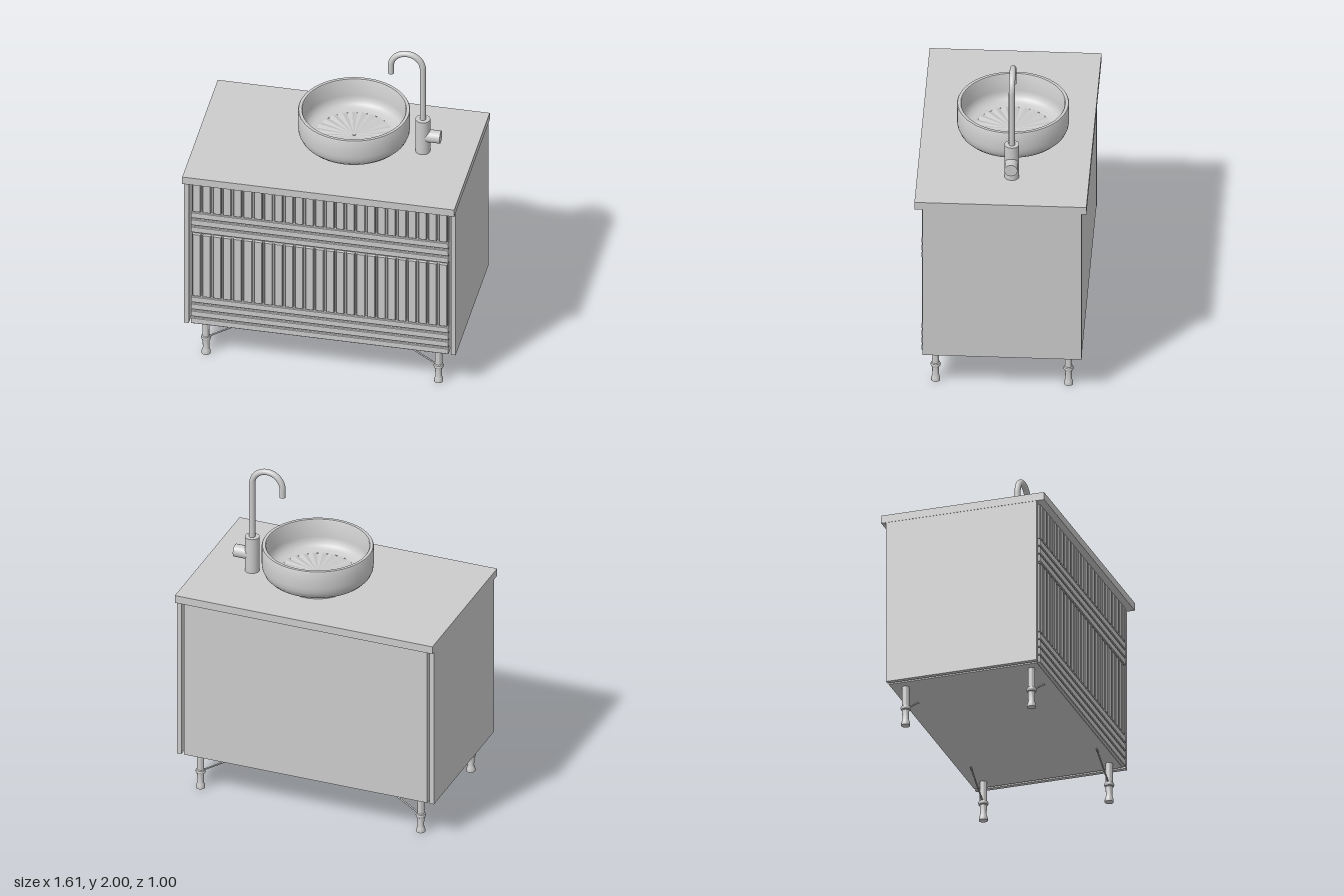
import * as THREE from 'three';
import { toCreasedNormals } from 'three/addons/utils/BufferGeometryUtils.js';

const material = new THREE.MeshStandardMaterial({ color: 0xcccccc });
const bowlFloorMaterial = new THREE.MeshStandardMaterial({ color: 0xcccccc, flatShading: true, side: THREE.DoubleSide });

function add(parent, name, geometry, x = 0, y = 0, z = 0) {
  const mesh = new THREE.Mesh(geometry, material);
  mesh.name = name;
  mesh.position.set(x, y, z);
  parent.add(mesh);
  return mesh;
}

// box given by its min and max corners
function addBox(parent, name, [x0, y0, z0], [x1, y1, z1]) {
  return add(parent, name, new THREE.BoxGeometry(x1 - x0, y1 - y0, z1 - z0),
    (x0 + x1) / 2, (y0 + y1) / 2, (z0 + z1) / 2);
}

function lathe(points, segments) {
  const profile = points.map(([r, y]) => new THREE.Vector2(r, y));
  return toCreasedNormals(new THREE.LatheGeometry(profile, segments), 0.6);
}

// slat with chamfered long edges, running up y, its face toward +z
function slatGeometry(width, length, depth) {
  const w = width / 2, c = 0.004;
  const shape = new THREE.Shape([
    [-w, 0], [w, 0], [w, -depth + c], [w - c, -depth], [-w + c, -depth], [-w, -depth + c],
  ].map(([x, y]) => new THREE.Vector2(x, y)));
  const geometry = new THREE.ExtrudeGeometry(shape, { depth: length, bevelEnabled: false });
  return geometry.rotateX(-Math.PI / 2).translate(0, -length / 2, 0);
}

function createDrawer(name, slatBottom, slatTop, railEdges) {
  const drawer = new THREE.Group();
  drawer.name = name;
  const halfWidth = 0.762, count = 25, baseZ = 0.44, depth = 0.02;
  // vertical slats
  const pitch = 2 * halfWidth / count;
  const slat = slatGeometry(pitch - 0.011, slatTop - slatBottom - 0.006, depth);
  for (let i = 0; i < count; i++) {
    add(drawer, 'verticalSlat', slat, -halfWidth + (i + 0.5) * pitch, (slatBottom + slatTop) / 2, baseZ);
  }
  // horizontal slats
  for (let i = 0; i + 1 < railEdges.length; i++) {
    const height = railEdges[i] - railEdges[i + 1] - 0.008;
    const rail = slatGeometry(height, 2 * halfWidth, depth).rotateZ(Math.PI / 2);
    add(drawer, 'horizontalSlat', rail, 0, (railEdges[i] + railEdges[i + 1]) / 2, baseZ);
  }
  return drawer;
}

function createBasin() {
  const basin = new THREE.Group();
  basin.name = 'basin';
  basin.position.set(0.1, 0, -0.035);
  add(basin, 'bowl', lathe([
    [0, 1.31], [0.205, 1.31], [0.205, 1.338], [0.235, 1.343], [0.265, 1.351], [0.292, 1.365],
    [0.312, 1.386], [0.323, 1.412], [0.326, 1.44], [0.326, 1.548], [0.322, 1.555],
    [0.304, 1.555], [0.3, 1.549], [0.3, 1.44], [0.294, 1.414], [0.28, 1.393], [0.257, 1.38], [0.224, 1.374],
  ], 64));
  // shallow pleated fan around the drain
  const floor = new THREE.CircleGeometry(0.226, 48).rotateX(-Math.PI / 2);
  const position = floor.attributes.position;
  for (let i = 1; i < position.count; i++) position.setY(i, i % 2 ? 0.004 : -0.004);
  floor.computeVertexNormals();
  add(basin, 'bowlFloor', floor, 0, 1.374, 0).material = bowlFloorMaterial;
  add(basin, 'drain', new THREE.CylinderGeometry(0.01, 0.01, 0.008, 16), 0, 1.374, 0);
  return basin;
}

function createFaucet() {
  const faucet = new THREE.Group();
  faucet.name = 'faucet';
  faucet.position.set(0.505, 0, -0.05);
  add(faucet, 'faucetBody', new THREE.CylinderGeometry(0.043, 0.043, 0.225, 32), 0, 1.4225, 0);
  add(faucet, 'faucetHandle', new THREE.CylinderGeometry(0.038, 0.038, 0.095, 32).rotateZ(Math.PI / 2), 0.059, 1.42, 0);
  // goose neck: riser, half circle, short drop
  const r = 0.095, arcY = 1.887, tube = 0.018, endY = 1.835;
  add(faucet, 'riser', new THREE.CylinderGeometry(tube, tube, arcY - 1.53, 20), 0, (arcY + 1.53) / 2, 0);
  add(faucet, 'spoutBend', new THREE.TorusGeometry(r, tube, 20, 32, Math.PI), -r, arcY, 0);
  add(faucet, 'spoutEnd', new THREE.CylinderGeometry(tube, tube, arcY - endY, 20), -2 * r, (arcY + endY) / 2, 0);
  return faucet;
}

function createLeg(side, z) {
  const leg = new THREE.Group();
  leg.name = 'leg';
  leg.position.set(side * 0.69, 0, z);
  add(leg, 'legPost', lathe([
    [0, 0], [0.026, 0], [0.026, 0.016], [0.022, 0.028], [0.019, 0.04], [0.021, 0.096],
    [0.027, 0.1], [0.03, 0.11], [0.027, 0.12], [0.021, 0.124], [0.021, 0.25],
  ], 24));
  // diagonal brace up to the underside of the cabinet
  const from = new THREE.Vector3(0, 0.11, 0);
  const to = new THREE.Vector3(-side * 0.228, 0.248, 0);
  const brace = add(leg, 'legBrace', new THREE.CylinderGeometry(0.005, 0.005, from.distanceTo(to), 10));
  brace.position.lerpVectors(from, to, 0.5);
  brace.quaternion.setFromUnitVectors(new THREE.Vector3(0, 1, 0), to.clone().sub(from).normalize());
  return leg;
}

export function createModel() {
  const model = new THREE.Group();
  model.name = 'washbasinCabinet';

  // cabinet, with a narrow gap between carcass and side panels
  addBox(model, 'countertop', [-0.807, 1.262, -0.5], [0.807, 1.31, 0.5]);
  addBox(model, 'carcass', [-0.762, 0.245, -0.47], [0.762, 1.262, 0.44]);
  addBox(model, 'rightSidePanel', [-0.805, 0.245, -0.472], [-0.778, 1.262, 0.453]);
  addBox(model, 'leftSidePanel', [0.778, 0.245, -0.472], [0.805, 1.262, 0.453]);

  model.add(createDrawer('upperDrawer', 1.043, 1.262, [1.043, 0.993, 0.942, 0.892]));
  model.add(createDrawer('lowerDrawer', 0.445, 0.885, [0.445, 0.395, 0.345, 0.295, 0.245]));

  model.add(createBasin(), createFaucet());

  for (const side of [-1, 1]) {
    for (const z of [0.383, -0.39]) model.add(createLeg(side, z));
  }
  return model;
}
